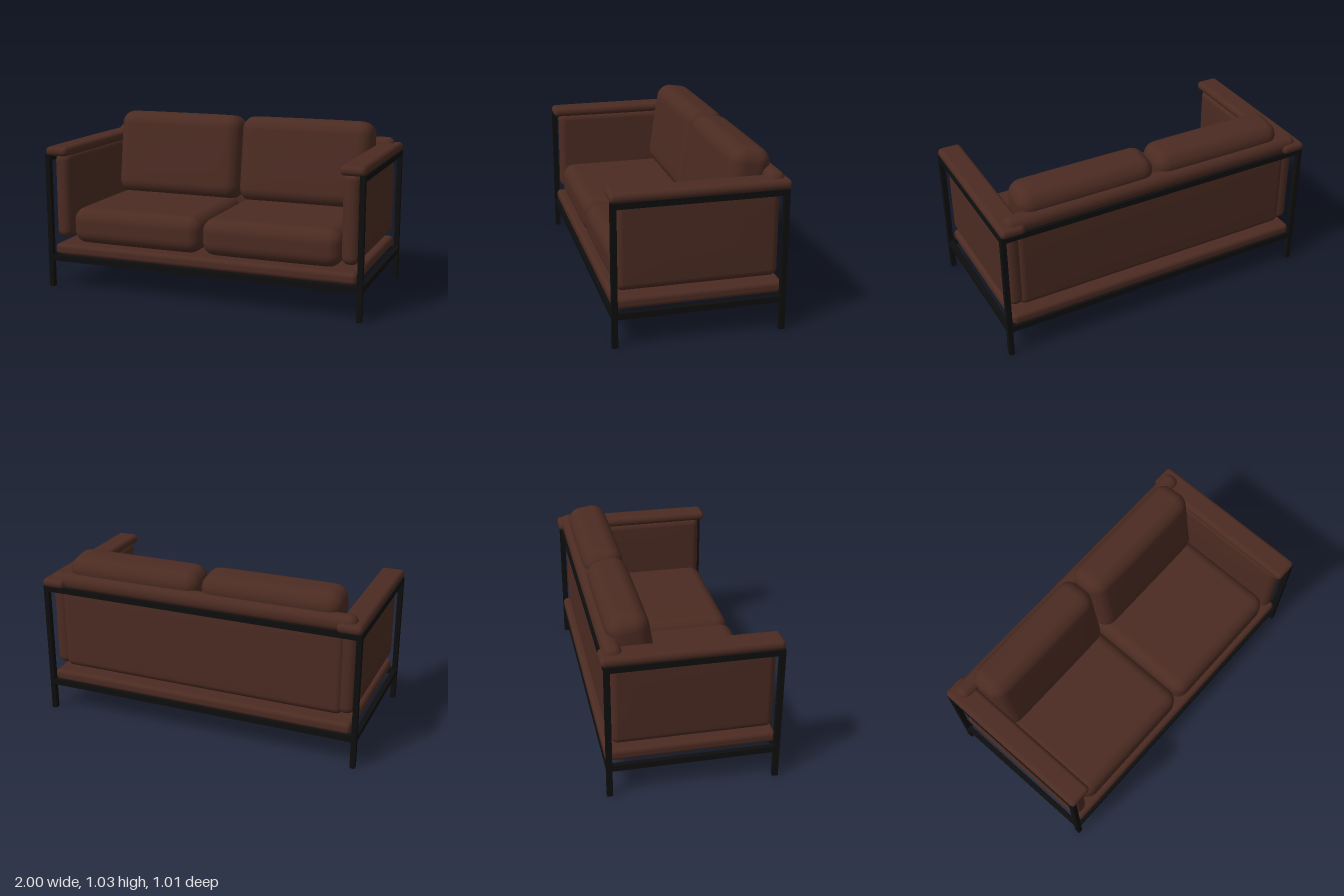
import * as THREE from 'three';
import { mergeVertices } from 'three/addons/utils/BufferGeometryUtils.js';

const leather = new THREE.MeshStandardMaterial({ color: 0x4b2b22 });
leather.name = 'brown leather';
const metal = new THREE.MeshStandardMaterial({ color: 0x0e0e0e });
metal.name = 'black metal';

// Soft box: rounded corners of radius r, with faces bulging outward by puff [x, y, z]
function cushionGeometry(size, r, puff = [0, 0, 0]) {
  const geo = new THREE.BoxGeometry(2, 2, 2, 16, 16, 16);
  geo.deleteAttribute('uv');
  geo.deleteAttribute('normal');
  const pos = geo.attributes.position;
  for (let i = 0; i < pos.count; i++) {
    const t = [pos.getX(i), pos.getY(i), pos.getZ(i)];
    const core = [], off = new THREE.Vector3();
    t.forEach((v, k) => {
      const inner = size[k] / 2 - r, a = Math.abs(v), s = Math.sign(v);
      core[k] = s * inner * Math.min(1, a * 2);
      off.setComponent(k, a > 0.5 ? s * Math.tan((a - 0.5) * Math.PI / 2) : 0);
    });
    off.setLength(r);
    const p = core.map((c, k) => c + off.getComponent(k));
    const n = p.map((c, k) => Math.min(1, Math.abs(c) / (size[k] / 2)));
    const bulge = (k) => {
      const u = n[(k + 1) % 3], v = n[(k + 2) % 3];
      return puff[k] * (1 - u ** 4) * (1 - v ** 4) * p[k] / (size[k] / 2);
    };
    pos.setXYZ(i, p[0] + bulge(0), p[1] + bulge(1), p[2] + bulge(2));
  }
  const merged = mergeVertices(geo, 1e-5);
  merged.computeVertexNormals();
  return merged;
}

export function createModel() {
  const sofa = new THREE.Group();
  sofa.name = 'sofa';

  const add = (name, geo, mat, x, y, z) => {
    const mesh = new THREE.Mesh(geo, mat);
    mesh.name = name;
    mesh.position.set(x, y, z);
    sofa.add(mesh);
    return mesh;
  };
  const cushion = (name, size, r, at, puff) => add(name, cushionGeometry(size, r, puff), leather, ...at);
  // Frame bar given by its lowest and highest corners
  const bar = (name, a, b) => add(name,
    new THREE.BoxGeometry(b[0] - a[0], b[1] - a[1], b[2] - a[2]), metal,
    (a[0] + b[0]) / 2, (a[1] + b[1]) / 2, (a[2] + b[2]) / 2);

  const front = [0.47, 0.503], back = [-0.49, -0.457];

  // Frame rails along the width
  bar('frontLowerRail', [-0.97, 0.168, front[0]], [0.97, 0.204, front[1]]);
  bar('backLowerRail', [-0.97, 0.168, back[0]], [0.97, 0.204, back[1]]);
  bar('backUpperRail', [-0.97, 0.798, back[0]], [0.97, 0.832, back[1]]);

  // Upholstered platform and back
  cushion('platform', [1.92, 0.07, 0.98], 0.025, [0, 0.24, 0]);
  cushion('backPanel', [1.8, 0.53, 0.11], 0.045, [0, 0.565, -0.405], [0, 0, 0.004]);
  cushion('backRoll', [1.92, 0.1, 0.105], 0.046, [0, 0.868, -0.43]);

  for (const s of [-1, 1]) {
    const side = s > 0 ? 'left' : 'right';
    const x0 = s > 0 ? 0.97 : -1, x1 = x0 + 0.03;

    // Side frame
    bar(side + 'FrontLeg', [x0, 0, front[0]], [x1, 0.832, front[1]]);
    bar(side + 'BackLeg', [x0, 0, back[0]], [x1, 0.832, back[1]]);
    bar(side + 'LowerRail', [x0, 0.168, back[1]], [x1, 0.204, front[0]]);
    bar(side + 'UpperRail', [x0, 0.798, back[1]], [x1, 0.832, front[0]]);

    // Arm with its top pad
    cushion(side + 'ArmPanel', [0.1, 0.53, 0.925], 0.045, [s * 0.912, 0.575, 0.008], [0.004, 0, 0]);
    cushion(side + 'ArmPad', [0.145, 0.055, 1.01], 0.025, [s * 0.9275, 0.855, 0], [0, 0.003, 0]);

    // Loose cushions, the upper one leaning back
    cushion(side + 'SeatCushion', [0.85, 0.22, 0.77], 0.075, [s * 0.43, 0.39, 0.08], [0, 0.005, 0]);
    const rest = cushion(side + 'BackCushion', [0.85, 0.54, 0.235], 0.08, [s * 0.43, 0.752, -0.295], [0, 0.004, 0.007]);
    rest.rotation.x = -0.15;
  }
  return sofa;
}
